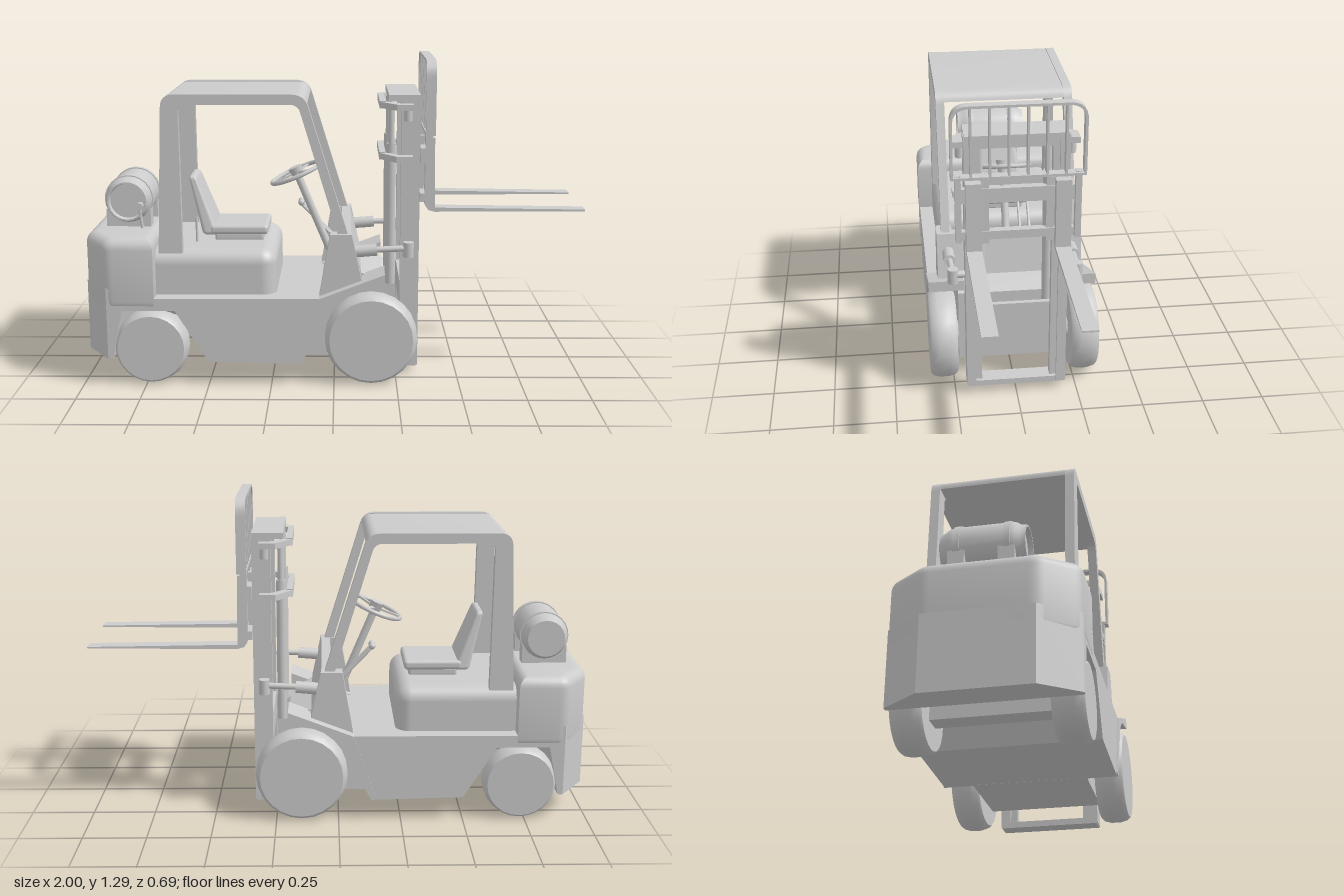
import * as THREE from 'three';
import { toCreasedNormals } from 'three/addons/utils/BufferGeometryUtils.js';
import { RoundedBoxGeometry } from 'three/addons/geometries/RoundedBoxGeometry.js';

const grey = new THREE.MeshStandardMaterial({ color: 0xcccccc, side: THREE.DoubleSide });
const V = (x, y, z) => new THREE.Vector3(x, y, z);

export function createModel() {
  const root = new THREE.Group();

  const add = (name, geo, parent = root) => {
    const m = new THREE.Mesh(geo, grey);
    m.name = name;
    parent.add(m);
    return m;
  };
  // Box given by its limits
  const box = (name, x0, x1, y0, y1, z0, z1) => {
    const g = new THREE.BoxGeometry(x1 - x0, y1 - y0, z1 - z0);
    return add(name, g.translate((x0 + x1) / 2, (y0 + y1) / 2, (z0 + z1) / 2));
  };
  const poly = (pts) => new THREE.Shape(pts.map(([x, y]) => new THREE.Vector2(x, y)));
  // Polygon with rounded corners; each point is [x, y, radius]
  const roundPoly = (pts) => {
    const s = new THREE.Shape();
    pts.forEach(([x, y, r = 0], i) => {
      const p = new THREE.Vector2(x, y);
      const toward = (q) => new THREE.Vector2(q[0], q[1]).sub(p).setLength(r).add(p);
      const a = toward(pts[(i + pts.length - 1) % pts.length]);
      const b = toward(pts[(i + 1) % pts.length]);
      if (i === 0) s.moveTo(a.x, a.y); else s.lineTo(a.x, a.y);
      if (r) s.quadraticCurveTo(x, y, b.x, b.y);
    });
    s.closePath();
    return s;
  };
  // Side profile (x, y) extruded across z
  const slab = (name, shape, z0, z1) => {
    const g = new THREE.ExtrudeGeometry(shape, { depth: z1 - z0, bevelEnabled: false, curveSegments: 6 });
    return add(name, toCreasedNormals(g.translate(0, 0, z0), 0.6));
  };
  // Plan outline (x, z) extruded upward, with optional rounded edges
  const plan = (name, shape, y0, y1, bevel = 0) => {
    const g = new THREE.ExtrudeGeometry(shape, {
      depth: y1 - y0 - 2 * bevel, bevelEnabled: bevel > 0, bevelThickness: bevel,
      bevelSize: bevel, bevelOffset: -bevel, bevelSegments: 5, curveSegments: 4,
    });
    return add(name, toCreasedNormals(g.rotateX(-Math.PI / 2).translate(0, y0 + bevel, 0), 0.6));
  };
  // Round bar between two points
  const rod = (name, a, b, r, r2 = r, sides = 14) => {
    const d = b.clone().sub(a);
    const m = add(name, new THREE.CylinderGeometry(r2, r, d.length(), sides));
    m.position.copy(a).addScaledVector(d, 0.5);
    m.quaternion.setFromUnitVectors(V(0, 1, 0), d.normalize());
    return m;
  };
  // Solid of revolution about the z axis; profile is [radius, z]
  const turned = (name, pts, x, y, z, sides = 24) => {
    const g = new THREE.LatheGeometry(pts.map((p) => new THREE.Vector2(p[0], p[1])), sides);
    return add(name, toCreasedNormals(g.rotateX(Math.PI / 2), 0.6).translate(x, y, z));
  };

  // Chassis, with an arch over the rear axle
  slab('chassis', poly([[-0.9, 0.11], [-0.88, 0.11], [-0.84, 0.31], [-0.63, 0.31], [-0.5, 0.1],
    [-0.13, 0.09], [-0.01, 0.36], [-0.9, 0.36]]), -0.34, 0.34);
  slab('frontBody', poly([[-0.14, 0.09], [0.2, 0.09], [0.2, 0.4], [0.1, 0.44], [-0.05, 0.36]]), -0.225, 0.225);

  // Counterweight with cut rear corners
  plan('counterweightBase', poly([[-1, -0.2], [-0.9, -0.34], [-0.885, -0.34], [-0.885, 0.34], [-0.9, 0.34], [-1, 0.2]]), 0.11, 0.4);
  plan('counterweight', roundPoly([[-1, -0.2, 0.03], [-0.9, -0.343, 0.03], [-0.71, -0.343], [-0.71, 0.343],
    [-0.9, 0.343, 0.03], [-1, 0.2, 0.03]]), 0.3, 0.6, 0.045);

  // Engine hood
  add('engineHood', new RoundedBoxGeometry(0.54, 0.28, 0.56, 5, 0.06).translate(-0.5, 0.402, 0));

  // Seat
  const seatBase = new RoundedBoxGeometry(0.2, 0.035, 0.2, 2, 0.01);
  add('seatBase', seatBase.translate(-0.39, 0.555, 0));
  add('seatCushion', new RoundedBoxGeometry(0.24, 0.04, 0.24, 3, 0.015).translate(-0.39, 0.587, 0));
  const back = new RoundedBoxGeometry(0.05, 0.24, 0.24, 3, 0.015);
  const bp = back.attributes.position;
  for (let i = 0; i < bp.count; i++) {
    const t = (bp.getY(i) + 0.12) / 0.24;
    bp.setX(i, bp.getX(i) * (1.3 - 0.75 * t) - 0.075 * t);
    bp.setZ(i, bp.getZ(i) * (1 - 0.25 * t));
  }
  back.computeVertexNormals();
  add('seatBack', back.translate(-0.505, 0.685, 0));
  rod('seatLever', V(-0.56, 0.53, 0.13), V(-0.56, 0.64, 0.13), 0.005);

  // Gas tank on its cradle
  turned('gasTank', [[0, -0.155], [0.075, -0.155], [0.078, -0.145], [0.092, -0.12], [0.095, -0.1], [0.095, 0.1],
    [0.092, 0.12], [0.082, 0.135], [0.08, 0.155], [0.074, 0.155], [0.07, 0.135], [0, 0.135]], -0.84, 0.71, -0.01);
  for (const z of [-0.1, 0.08]) {
    turned('tankBand', [[0.094, -0.012], [0.099, -0.012], [0.099, 0.012], [0.094, 0.012]], -0.84, 0.71, z);
    slab('tankCradle', poly([[-0.93, 0.59], [-0.75, 0.59], [-0.75, 0.675], [-0.84, 0.63], [-0.93, 0.675]]), z - 0.03, z + 0.03);
  }
  rod('tankValve', V(-0.79, 0.69, 0.12), V(-0.79, 0.69, 0.15), 0.015);
  rod('tankHose', V(-0.79, 0.69, 0.14), V(-0.78, 0.6, 0.14), 0.006);

  // Overhead guard, cowl, fenders and tilt cylinders, on both sides
  const guard = roundPoly([[-0.695, 0.53], [-0.67, 1.16, 0.05], [-0.115, 1.16, 0.05], [0.06, 0.59], [0.02, 0.59],
    [-0.14, 1.12, 0.03], [-0.605, 1.12, 0.03], [-0.6, 0.53]]);
  for (const s of [-1, 1]) {
    const side = (name, shape, a, b) => slab(name, shape, Math.min(s * a, s * b), Math.max(s * a, s * b));
    side('guardFrame', guard, 0.245, 0.28);
    side('cowlPost', poly([[-0.06, 0.35], [-0.015, 0.61], [0.07, 0.61], [0.11, 0.42], [0.04, 0.38]]), 0.235, 0.3);
    side('fender', poly([[-0.15, 0.1], [-0.13, 0.09], [-0.01, 0.34], [0.06, 0.385], [0.2, 0.415], [0.2, 0.46], [-0.06, 0.36]]), 0.2, 0.344);
    rod('tiltCylinder', V(0.05, 0.53, s * 0.255), V(0.17, 0.54, s * 0.255), 0.024);
    rod('tiltRod', V(0.16, 0.54, s * 0.255), V(0.3, 0.545, s * 0.25), 0.012);
    rod('tiltRodEnd', V(0.295, 0.51, s * 0.25), V(0.295, 0.57, s * 0.25), 0.022);
    rod('tiltPin', V(0.295, 0.545, s * 0.19), V(0.295, 0.545, s * 0.265), 0.015);
  }
  slab('roof', roundPoly([[-0.665, 1.12], [-0.665, 1.155, 0.03], [-0.12, 1.155, 0.03], [-0.105, 1.12]]), -0.25, 0.25);
  slab('dashPanel', poly([[0.03, 0.61], [0.068, 0.61], [0.115, 0.41], [0.06, 0.39]]), -0.24, 0.24);

  // Steering wheel, column and hand levers
  const wheel = new THREE.Group();
  wheel.name = 'steeringWheel';
  wheel.position.set(-0.155, 0.805, 0);
  wheel.quaternion.setFromUnitVectors(V(0, 0, 1), V(-0.39, 0.92, 0).normalize());
  root.add(wheel);
  add('rim', new THREE.TorusGeometry(0.112, 0.009, 8, 32), wheel);
  add('hub', new THREE.CylinderGeometry(0.03, 0.022, 0.05, 14).rotateX(Math.PI / 2), wheel);
  for (let i = 0; i < 3; i++) {
    add('spoke', new THREE.BoxGeometry(0.105, 0.016, 0.008).translate(0.055, 0, 0).rotateZ(i * Math.PI * 2 / 3 + Math.PI / 2), wheel);
  }
  rod('steeringColumn', V(-0.155, 0.8, 0), V(0.0, 0.43, 0), 0.016);
  for (const z of [-0.1, -0.06]) {
    rod('handLever', V(-0.14, 0.66, z), V(0.03, 0.48, z), 0.006);
    add('leverKnob', new THREE.SphereGeometry(0.014, 10, 8)).position.set(-0.14, 0.665, z);
  }

  // Wheels and axles
  const tyre = (name, x, r, z0, z1) => {
    const h = (z1 - z0) / 2;
    for (const s of [-1, 1]) {
      turned(name, [[0, -h], [r * 0.9, -h], [r * 0.96, -h * 0.82], [r, -h * 0.35], [r, h * 0.35],
        [r * 0.96, h * 0.82], [r * 0.9, h], [0, h]], x, r + 0.003, s * (z0 + h));
    }
  };
  tyre('frontWheel', 0.148, 0.185, 0.235, 0.347);
  tyre('rearWheel', -0.73, 0.148, 0.22, 0.335);
  rod('frontAxle', V(0.148, 0.188, -0.24), V(0.148, 0.188, 0.24), 0.05);
  box('rearAxle', -0.77, -0.69, 0.11, 0.2, -0.23, 0.23);
  box('rearAxleMount', -0.78, -0.68, 0.19, 0.32, -0.08, 0.08);

  // Mast
  for (const s of [-1, 1]) {
    const bar = (name, x0, x1, y0, y1, a, b) => box(name, x0, x1, y0, y1, Math.min(s * a, s * b), Math.max(s * a, s * b));
    bar('outerRailWeb', 0.265, 0.34, 0.04, 1.14, 0.19, 0.203);
    bar('outerRailFront', 0.325, 0.34, 0.04, 1.14, 0.165, 0.195);
    bar('outerRailBack', 0.265, 0.28, 0.04, 1.14, 0.165, 0.195);
    bar('innerRail', 0.285, 0.32, 0.06, 1.15, 0.14, 0.18);
    rod('liftCylinder', V(0.228, 0.37, s * 0.135), V(0.228, 0.95, s * 0.135), 0.02);
    rod('liftRod', V(0.228, 0.95, s * 0.135), V(0.228, 1.11, s * 0.135), 0.013);
    rod('mastRoller', V(0.29, 1.05, s * 0.215), V(0.29, 1.11, s * 0.215), 0.017);
    // Arms of the mast brackets
    for (const y of [0.9, 1.105]) {
      plan('bracketArm', poly([[0.18, s * 0.15], [0.205, s * 0.13], [0.26, s * 0.2], [0.31, s * 0.2], [0.31, s * 0.245], [0.245, s * 0.245]]), y - 0.012, y + 0.012);
    }
  }
  for (const y of [0.9, 1.105]) box('bracketBar', 0.18, 0.205, y - 0.015, y + 0.015, -0.15, 0.15);
  box('mastFoot', 0.265, 0.335, 0.035, 0.06, -0.2, 0.2);
  box('mastLowerBrace', 0.265, 0.285, 0.285, 0.39, -0.19, 0.19);
  box('mastTopBrace', 0.215, 0.34, 1.125, 1.15, -0.2, 0.2);
  box('innerTopBrace', 0.29, 0.32, 1.09, 1.13, -0.16, 0.16);

  // Fork carriage
  box('carriageUpperBar', 0.34, 0.365, 0.885, 0.945, -0.24, 0.24);
  box('carriageLowerBar', 0.34, 0.365, 0.73, 0.765, -0.24, 0.24);
  for (const s of [-1, 1]) {
    box('carriageUpright', 0.315, 0.36, 0.71, 0.98, s * 0.125 - 0.015, s * 0.125 + 0.015);
    box('backrestLeg', 0.358, 0.385, 0.73, 1.01, s * 0.23 - 0.012, s * 0.23 + 0.012);
    slab('fork', poly([[0.362, 0.98], [0.398, 0.98], [0.402, 0.7], [1, 0.693], [1, 0.686], [0.4, 0.683], [0.375, 0.69], [0.362, 0.71]]),
      s * 0.172 - 0.03, s * 0.172 + 0.03);
  }

  // Load backrest: rounded frame with upright bars
  const frameOutline = (z, y0, y1, r) => roundPoly([[-z, y0], [z, y0], [z, y1, r], [-z, y1, r]]);
  const frame = frameOutline(0.257, 0.997, 1.29, 0.07);
  frame.holes.push(frameOutline(0.247, 1.007, 1.28, 0.063));
  const frameGeo = new THREE.ExtrudeGeometry(frame, { depth: 0.038, bevelEnabled: false, curveSegments: 8 });
  add('backrestFrame', toCreasedNormals(frameGeo.rotateY(Math.PI / 2).translate(0.358, 0, 0), 0.6));
  for (const z of [-0.18, -0.108, -0.036, 0.036, 0.108, 0.18]) box('backrestBar', 0.36, 0.394, 1.0, 1.285, z - 0.004, z + 0.004);

  return root;
}
